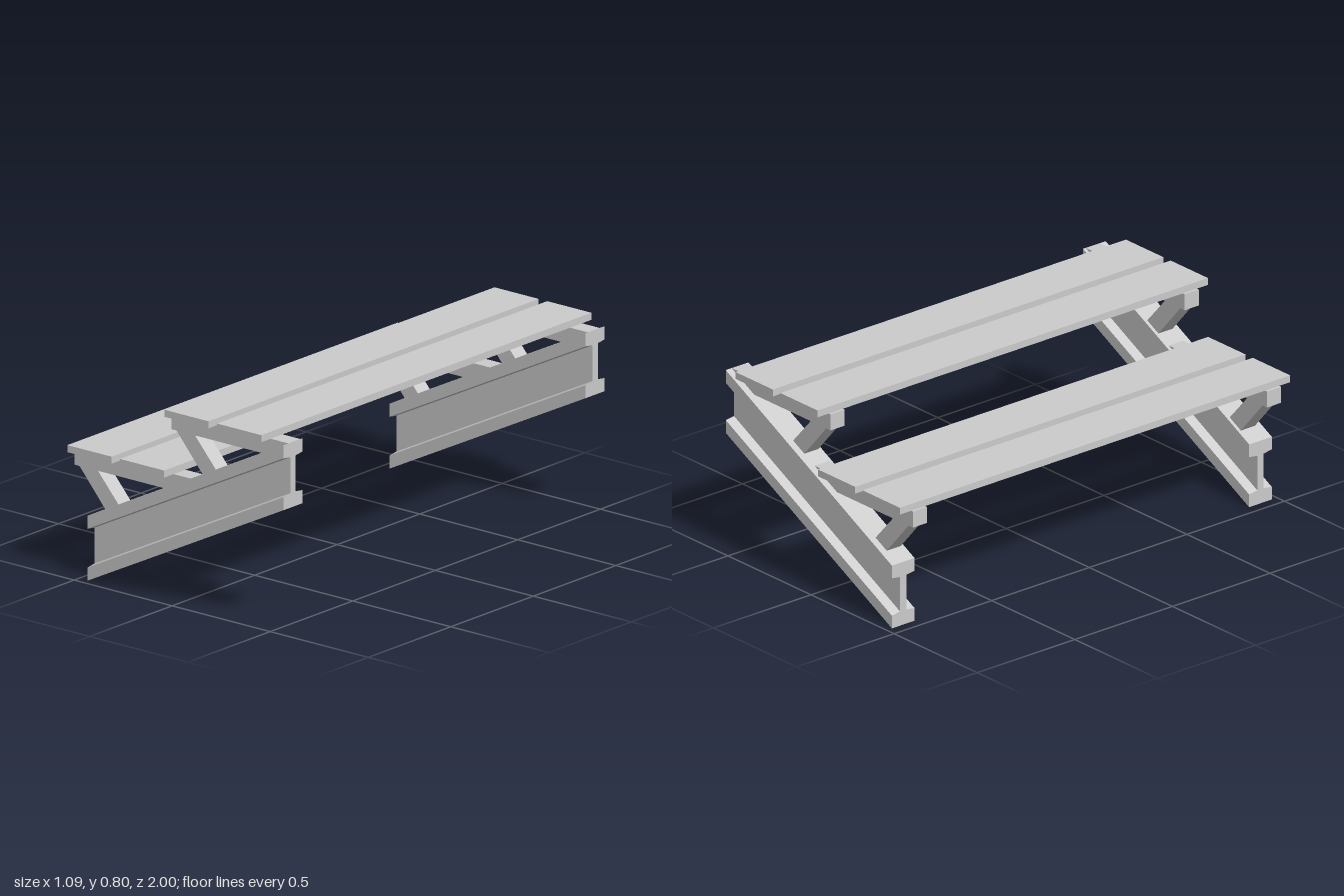
import * as THREE from 'three';

const material = new THREE.MeshStandardMaterial({ color: 0xcccccc, flatShading: true });

function add(parent, name, geometry) {
  const mesh = new THREE.Mesh(geometry, material);
  mesh.name = name;
  parent.add(mesh);
  return mesh;
}

// Side outline in x/y, extruded along z and centred on z = 0
function slab(points, thickness) {
  const shape = new THREE.Shape(points.map(([x, y]) => new THREE.Vector2(x, y)));
  return new THREE.ExtrudeGeometry(shape, { depth: thickness, bevelEnabled: false })
    .translate(0, 0, -thickness / 2);
}

// Sloping I-beam with plumb-cut ends and slightly tapered flanges
function beamGeometry() {
  const f = 0.058, w = 0.016, h = 0.267;
  const right = [[f, 0], [f, 0.054], [w, 0.06], [w, h - 0.06], [f, h - 0.054], [f, h]];
  const left = right.map(([x, y]) => [-x, y]).reverse();
  const shear = new THREE.Matrix4().set(
    1, 0, 0, 0,
    0.501, 1, 0, 0,
    0, 0, 1, 0,
    0, 0, 0, 1);
  return slab([...right, ...left], 1)
    .rotateY(Math.PI / 2)
    .translate(0.5, 0, 0)
    .applyMatrix4(shear)
    .translate(-0.455, 0, 0);
}

export function createModel() {
  const group = new THREE.Group();
  group.name = 'tieredBench';

  // Each tier repeats the lower one, shifted up the slope
  const tiers = [['lower', 0, 0], ['upper', 0.495, 0.25]];
  const barWidth = 0.072;

  for (const side of [1, -1]) {
    const frame = new THREE.Group();
    frame.name = side > 0 ? 'frontFrame' : 'backFrame';
    group.add(frame);
    add(frame, 'slopingBeam', beamGeometry()).position.z = side * 0.915;

    for (const [tier, dx, dy] of tiers) {
      // Level bar, cut to the slope of the beam
      const bar = slab([[-0.546, 0.45], [-0.085, 0.45], [0.05, 0.518], [-0.546, 0.518]], barWidth);
      add(frame, tier + 'SeatBar', bar).position.set(dx, dy, side * 0.907);
      // Slanted brace under the bar
      const brace = slab([[-0.52, 0.45], [-0.387, 0.298], [-0.32, 0.332], [-0.426, 0.45]], barWidth);
      add(frame, tier + 'Brace', brace).position.set(dx, dy, side * 0.907);
    }
  }

  // Two planks per tier
  for (const [tier, dx, dy] of tiers) {
    for (const x of [-0.422, -0.153]) {
      add(group, tier + 'Plank', new THREE.BoxGeometry(0.225, 0.029, 2))
        .position.set(x + dx, 0.5325 + dy, 0);
    }
  }
  return group;
}
